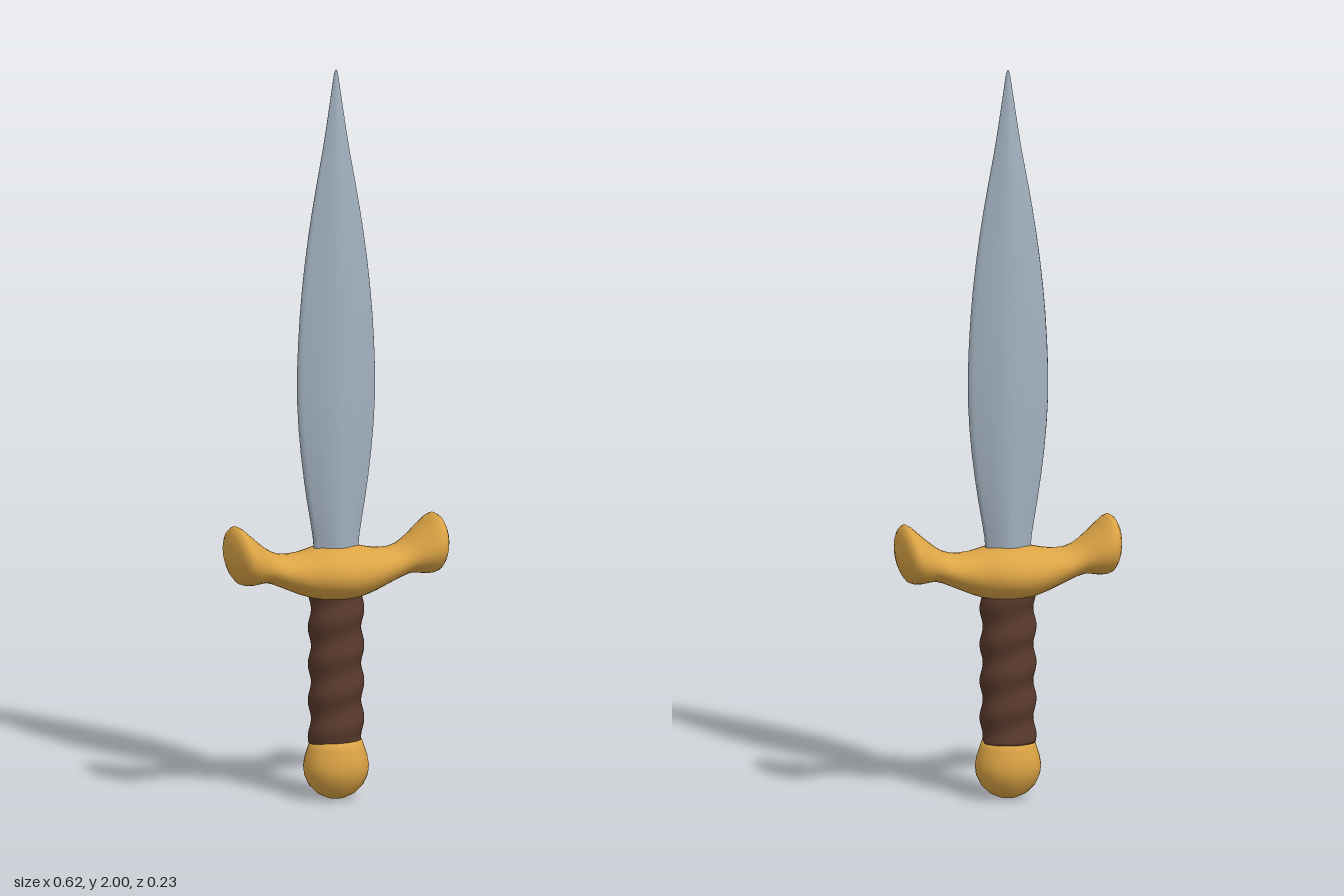
import * as THREE from 'three';

const material = (name, color) => {
  const m = new THREE.MeshStandardMaterial({ color });
  m.name = name;
  return m;
};

// Skin a series of closed rings (counter-clockwise about the travel direction) with smooth normals.
function loft(rings) {
  const n = rings[0].length, pos = [], index = [];
  rings.forEach(r => r.forEach(p => pos.push(...p)));
  for (let i = 0; i < rings.length - 1; i++) {
    for (let j = 0; j < n; j++) {
      const a = i * n + j, b = i * n + (j + 1) % n;
      index.push(a, b, b + n, a, b + n, a + n);
    }
  }
  // End caps fan around the middle of the first and last ring
  [[0, true], [rings.length - 1, false]].forEach(([i, first]) => {
    const c = pos.length / 3, r = rings[i];
    for (let k = 0; k < 3; k++) pos.push(r.reduce((s, p) => s + p[k], 0) / n);
    for (let j = 0; j < n; j++) {
      const a = i * n + j, b = i * n + (j + 1) % n;
      index.push(...(first ? [c, b, a] : [c, a, b]));
    }
  });
  const g = new THREE.BufferGeometry();
  g.setAttribute('position', new THREE.Float32BufferAttribute(pos, 3));
  g.setIndex(index);
  g.computeVertexNormals();
  return g;
}

// Smooth a list of station rows into a denser list
function smoothRows(rows, steps) {
  const out = [];
  const count = (rows.length - 1) * steps;
  for (let s = 0; s <= count; s++) {
    const i = Math.min(Math.floor(s / steps), rows.length - 2), t = s / steps - i;
    const at = k => rows[Math.max(0, Math.min(rows.length - 1, k))];
    out.push(rows[0].map((_, c) => {
      const [a, b, d, e] = [at(i - 1)[c], at(i)[c], at(i + 1)[c], at(i + 2)[c]];
      return b + 0.5 * t * (d - a + t * (2 * a - 5 * b + 4 * d - e + t * (3 * (b - d) + e - a)));
    }));
  }
  return out;
}

function bladeGeometry() {
  // One quarter of the softened diamond section, mirrored to a full ring
  const quarter = [[1, 0], [0.97, 0.18], [0.89, 0.29], [0.6, 0.62], [0.28, 0.91], [0, 1]];
  const half = [...quarter, ...quarter.slice(0, -1).reverse().map(([x, z]) => [-x, z])];
  const section = [...half, ...half.slice(1, -1).reverse().map(([x, z]) => [x, -z])];
  // Height, half width, half thickness
  const stations = [
    [0.62, 0.058, 0.044], [0.72, 0.066, 0.045], [0.82, 0.083, 0.046], [0.95, 0.101, 0.047],
    [1.1, 0.112, 0.048], [1.25, 0.109, 0.046], [1.4, 0.098, 0.042], [1.55, 0.079, 0.036],
    [1.68, 0.057, 0.029], [1.78, 0.038, 0.022], [1.88, 0.022, 0.014], [1.96, 0.01, 0.007],
    [1.99, 0.005, 0.004], [2, 0.0005, 0.0005],
  ];
  return loft(smoothRows(stations, 2).map(([y, w, d]) => section.map(([x, z]) => [x * w, y, -z * d])));
}

function guardGeometry() {
  // Top x, top y, bottom x, bottom y, half depth: from the middle to the flared end
  const arm = [
    [0, 0.7, 0, 0.545, 0.117], [0.05, 0.694, 0.05, 0.55, 0.108],
    [0.1, 0.682, 0.105, 0.566, 0.085], [0.16, 0.68, 0.165, 0.592, 0.072],
    [0.205, 0.701, 0.208, 0.607, 0.078], [0.255, 0.743, 0.248, 0.602, 0.1],
    [0.283, 0.764, 0.28, 0.607, 0.101], [0.302, 0.742, 0.298, 0.636, 0.068],
    [0.309, 0.7, 0.309, 0.667, 0.02],
  ];
  const mirrored = arm.slice(1).reverse().map(([a, b, c, d, e]) => [-a, b, -c, d, e]);
  const rows = smoothRows([...mirrored, ...arm], 2);
  const sides = 28;
  return loft(rows.map(([tx, ty, bx, by, d]) => Array.from({ length: sides }, (_, j) => {
    const a = j / sides * Math.PI * 2, t = (1 + Math.cos(a)) / 2;
    return [bx + (tx - bx) * t, by + (ty - by) * t, d * Math.sin(a)];
  })));
}

function gripGeometry() {
  // Oval handle with a spiral wrap swelling around it
  const rings = [], sides = 32, levels = 64;
  for (let i = 0; i <= levels; i++) {
    const y = 0.155 + 0.42 * i / levels;
    rings.push(Array.from({ length: sides }, (_, j) => {
      const a = j / sides * Math.PI * 2;
      const swell = 1 + 0.06 * Math.sin(y / 0.1 * Math.PI * 2 - a);
      return [0.073 * swell * Math.cos(a), y, -0.064 * swell * Math.sin(a)];
    }));
  }
  return loft(rings);
}

function pommelGeometry() {
  const profile = [[0, 0], [0.025, 0.003], [0.052, 0.016], [0.074, 0.038], [0.087, 0.066],
    [0.09, 0.09], [0.086, 0.115], [0.078, 0.14], [0.071, 0.16], [0.05, 0.172], [0, 0.175]];
  const g = new THREE.LatheGeometry(profile.map(p => new THREE.Vector2(...p)), 32);
  g.scale(1, 1, 0.9);
  return g;
}

export function createModel() {
  const gold = material('gold', 0xdca445);
  const steel = material('steel', 0xa3b2c0);
  const leather = material('brown leather', 0x5a3a2c);

  const model = new THREE.Group();
  model.name = 'dagger';
  const add = (name, geometry, mat) => {
    const mesh = new THREE.Mesh(geometry, mat);
    mesh.name = name;
    model.add(mesh);
  };
  add('blade', bladeGeometry(), steel);
  add('crossguard', guardGeometry(), gold);
  add('grip', gripGeometry(), leather);
  add('pommel', pommelGeometry(), gold);
  return model;
}
